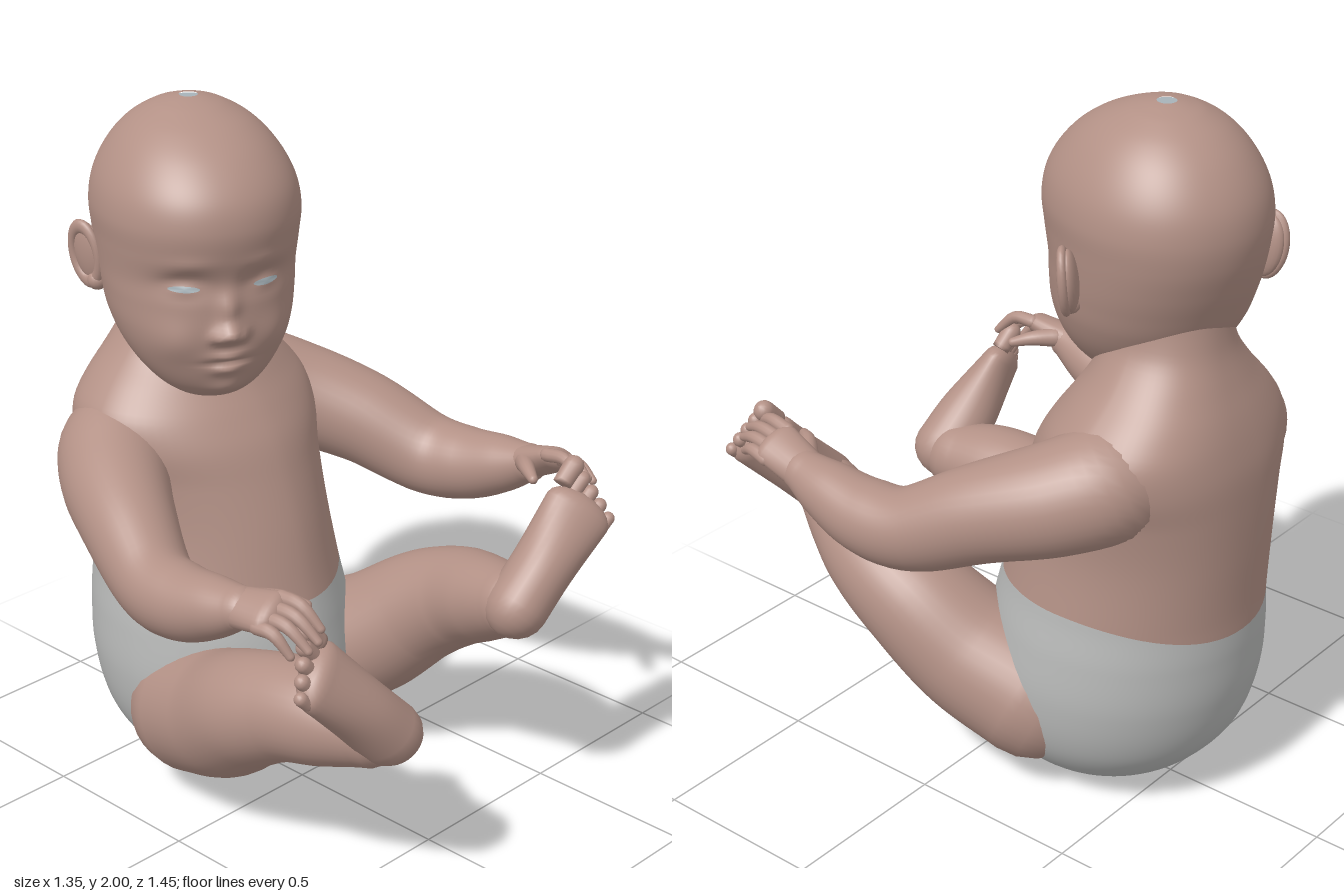
import * as THREE from 'three';

const V = (x, y, z) => new THREE.Vector3(x, y, z);
const skin = new THREE.MeshStandardMaterial({ color: 0xb39186 });
skin.name = 'skin';
const cloth = new THREE.MeshStandardMaterial({ color: 0xb7b8b7 });
cloth.name = 'diaperCloth';
const eyeGrey = new THREE.MeshStandardMaterial({ color: 0xa6b2b8 });
eyeGrey.name = 'eyeGrey';

function add(parent, name, geometry, material = skin) {
  const mesh = new THREE.Mesh(geometry, material);
  mesh.name = name;
  parent.add(mesh);
  return mesh;
}

// Closed rings of points joined into a smooth skin
function grid(rings, cols, point) {
  const pos = [], idx = [];
  for (let i = 0; i <= rings; i++) {
    for (let j = 0; j < cols; j++) {
      const p = point(i / rings, (j / cols) * Math.PI * 2, i);
      pos.push(p.x, p.y, p.z);
      if (i === rings) continue;
      const a = i * cols + j, b = i * cols + ((j + 1) % cols);
      idx.push(a, b, b + cols, a, b + cols, a + cols);
    }
  }
  const g = new THREE.BufferGeometry();
  g.setAttribute('position', new THREE.Float32BufferAttribute(pos, 3));
  g.setIndex(idx);
  g.computeVertexNormals();
  return g;
}

// Round-ended limb through rows of [x, y, z, radius along side, radius across]
function limb(rows, side, rings = 20, cols = 24) {
  const path = new THREE.CatmullRomCurve3(rows.map(r => V(r[0], r[1], r[2])), false, 'catmullrom');
  const size = new THREE.CatmullRomCurve3(rows.map(r => V(r[3], r[4], 0)), false, 'catmullrom');
  const cap = 5;
  return grid(rings + 2 * cap, cols, (v, th, i) => {
    const t = THREE.MathUtils.clamp((i - cap) / rings, 0, 1);
    const over = i < cap ? i - cap : Math.max(0, i - cap - rings);
    const ang = (over / cap) * Math.PI / 2;
    const c = path.getPoint(t), r = size.getPoint(t), tan = path.getTangent(t);
    const b = tan.clone().cross(side).normalize(), a = b.clone().cross(tan);
    return c.addScaledVector(tan, Math.sin(ang) * Math.min(r.x, r.y))
      .addScaledVector(a, r.x * Math.cos(ang) * Math.cos(th))
      .addScaledVector(b, r.y * Math.cos(ang) * Math.sin(th));
  });
}

// Smooth lookup by height in rows of [y, half width, front z, back z]
function section(rows, y) {
  let k = 0;
  while (k < rows.length - 2 && y > rows[k + 1][0]) k++;
  const p = rows[k], q = rows[k + 1], h = q[0] - p[0], t = (y - p[0]) / h;
  const slope = (m, c) => {
    const a = rows[Math.max(0, m - 1)], b = rows[Math.min(rows.length - 1, m + 1)];
    return (b[c] - a[c]) / (b[0] - a[0]);
  };
  return [1, 2, 3].map(c => (2 * t ** 3 - 3 * t * t + 1) * p[c] + (3 * t * t - 2 * t ** 3) * q[c]
    + h * ((t ** 3 - 2 * t * t + t) * slope(k, c) + (t ** 3 - t * t) * slope(k + 1, c)));
}

const power = (v, n) => Math.sign(v) * Math.abs(v) ** (2 / n);
function ringPoint(rows, y, th, nFront, nBack) {
  const [w, f, b] = section(rows, y), c = Math.cos(th), n = c > 0 ? nFront : nBack;
  return V(w * power(Math.sin(th), n), y, (f + b) / 2 + (f - b) / 2 * power(c, n));
}

const bodyRows = [
  [0, 0, -.32, -.32], [.01, .11, -.19, -.43], [.04, .215, -.07, -.5], [.1, .3, .03, -.585],
  [.2, .36, .08, -.665], [.35, .385, .09, -.712], [.5, .375, .065, -.725], [.62, .355, .035, -.725],
  [.8, .338, -.01, -.73], [.95, .35, -.06, -.73], [1.05, .375, -.1, -.725], [1.13, .37, -.15, -.71],
  [1.2, .318, -.2, -.69], [1.28, .24, -.25, -.66], [1.36, .18, -.275, -.632], [1.42, .162, -.28, -.62],
  [1.5, .155, -.28, -.61]];
const headRows = [
  [1.2, 0, .15, .15], [1.205, .06, .2, .08], [1.225, .115, .24, 0], [1.27, .17, .28, -.1],
  [1.34, .22, .305, -.18], [1.42, .252, .318, -.24], [1.5, .266, .32, -.28], [1.56, .272, .318, -.305],
  [1.64, .28, .34, -.33], [1.72, .286, .35, -.338], [1.8, .27, .328, -.322], [1.88, .226, .262, -.275],
  [1.94, .168, .175, -.212], [1.98, .098, .08, -.14], [1.994, .053, .025, -.09], [2, .02, -.015, -.055]];

// Face relief: [x, y, width, height, depth], mirrored when x is not zero
const features = [
  [0, 1.432, .034, .028, .05], [0, 1.5, .028, .05, .022], [.036, 1.422, .018, .016, .02],
  [.115, 1.568, .06, .03, -.026], [.115, 1.558, .042, .02, .02], [.11, 1.63, .06, .02, .005],
  [0, 1.362, .045, .014, .018], [0, 1.318, .04, .015, .016], [0, 1.34, .06, .006, -.013],
  [0, 1.25, .05, .025, .012], [.15, 1.4, .065, .06, .016]];
function relief(x, y) {
  let d = 0;
  for (const [fx, fy, w, h, k] of features)
    for (const s of fx ? [1, -1] : [1])
      d += k * Math.exp(-(((x - s * fx) / w) ** 2) - ((y - fy) / h) ** 2);
  return d;
}
function faceZ(x, y) {
  const [w, f, b] = section(headRows, y);
  return (f + b) / 2 + (f - b) / 2 * (1 - Math.abs(x / w) ** 2.1) ** (1 / 2.1) + relief(x, y);
}

function buildHead() {
  const head = new THREE.Group();
  head.name = 'head';
  // Skull, left open by a small soft spot at the crown
  add(head, 'skull', grid(110, 144, (v, th) => {
    const y = 1.2 + .3995 * (1 - Math.cos(Math.PI * v));
    const p = ringPoint(headRows, y, th, 2.1, 2.1);
    if (Math.cos(th) > 0) p.z += relief(p.x, y) * Math.min(1, Math.cos(th) * 3);
    return p;
  }));
  const spot = add(head, 'crownSpot', new THREE.CircleGeometry(.045, 20), eyeGrey);
  spot.rotation.x = -Math.PI / 2;
  spot.position.set(0, 1.991, -.035);
  for (const s of [1, -1]) {
    // Narrow open eye laid on the face
    const eye = new THREE.CircleGeometry(1, 24), p = eye.attributes.position;
    for (let i = 0; i < p.count; i++) {
      const x = s * .115 + p.getX(i) * .04, y = 1.557 + p.getY(i) * .0085;
      p.setXYZ(i, x, y, faceZ(x, y) + .003);
    }
    eye.computeVertexNormals();
    add(head, 'eye', eye, eyeGrey);
    // Ear flaring outward to the back: bowl, rim and lobe
    const ear = new THREE.Group();
    ear.name = 'ear';
    ear.position.set(s * .285, 1.565, -.07);
    ear.rotation.set(-.15, s * -.5, s * -.15);
    add(ear, 'earBowl', new THREE.SphereGeometry(1, 24, 16)).scale.set(.026, .09, .054);
    const rim = add(ear, 'earRim', new THREE.TorusGeometry(.05, .013, 12, 32));
    rim.rotation.y = Math.PI / 2;
    rim.scale.set(1, 1.6, 1);
    rim.position.x = s * .013;
    const lobe = add(ear, 'earLobe', new THREE.SphereGeometry(.028, 16, 12));
    lobe.position.set(s * .004, -.078, .018);
    head.add(ear);
  }
  head.position.set(-.05, 0, -.37);
  head.rotation.y = -.47;
  return head;
}

function buildArm(s, dy, droop) {
  const arm = new THREE.Group();
  arm.name = s > 0 ? 'leftArm' : 'rightArm';
  const at = (x, y, z, ...r) => [s * x, y + dy, z, ...r];
  const side = V(s * .85, -.5, 0).normalize();
  add(arm, 'armSkin', limb([
    at(.12, 1.05, -.48, .12, .12), at(.26, 1.045, -.475, .16, .155), at(.37, 1.0, -.37, .155, .152),
    at(.47, .94, -.2, .133, .138), at(.545, .86, -.02, .112, .122), at(.57, .86, .12, .105, .108),
    at(.578, .895, .25, .085, .085), at(.58, .925, .34, .062, .057)], side, 44, 36));
  const wrist = at(.58, .925, .33), palm = at(.577, .975 - droop * .5, .445);
  add(arm, 'palm', limb([[...wrist, .06, .05], [...palm, .068, .034]], side, 10));
  for (let i = 0; i < 4; i++) {
    const u = (i - 1.5) / 1.5, base = V(...palm).addScaledVector(side, u * .052);
    const len = [.12, .14, .135, .1][i];
    const mid = base.clone().add(V(-s * .005, .012 - droop * .3, len * .55));
    const tip = base.clone().add(V(-s * .02, -.005 - droop, len));
    add(arm, 'finger', limb([[...base, .02, .02], [...mid, .018, .018], [...tip, .012, .012]], side, 8, 12));
  }
  add(arm, 'thumb', limb([at(.54, .945, .36, .03, .028), at(.49, .96 - droop * .3, .41, .022, .022),
    at(.455, .955 - droop * .5, .46, .014, .014)], V(0, 1, 0), 10, 14));
  return arm;
}

function buildLeg(name, rows, heel, ball, across) {
  const leg = new THREE.Group();
  leg.name = name;
  add(leg, 'legSkin', limb(rows.map(r => [...r, r[3]]), V(1, 0, 0), 40, 36));
  const dir = ball.clone().sub(heel).normalize(), mid = heel.clone().lerp(ball, .45);
  add(leg, 'foot', limb([[...heel, .09, .1], [...mid, .09, .09], [...ball, .102, .053]], across, 16, 28));
  // Toes from the big one to the little one
  for (let i = 0; i < 5; i++) {
    const r = [.03, .023, .022, .021, .019][i];
    const base = ball.clone().addScaledVector(across, -.082 + i * .042).addScaledVector(dir, .02);
    const tip = base.clone().addScaledVector(dir, .062 - i * .007);
    add(leg, 'toe', limb([[...base, r * .9, r * .9], [...tip, r, r]], across, 5, 14));
  }
  return leg;
}

export function createModel() {
  const baby = new THREE.Group();
  baby.name = 'baby';

  // Torso and diaper meet along a waistline that dips at front and back
  const waist = th => .64 - (Math.cos(th) > 0 ? .04 : .07) * Math.cos(th) ** 2;
  add(baby, 'diaper', grid(50, 72, (v, th) =>
    ringPoint(bodyRows, waist(th) * (1 - Math.cos(Math.PI * v)) / 2, th, 1.8, 2.05)), cloth);
  // The back grows squarer towards the shoulder blades
  add(baby, 'torso', grid(50, 72, (v, th) =>
    ringPoint(bodyRows, THREE.MathUtils.lerp(waist(th), 1.5, v), th, 1.8, 2.05 + .3 * Math.sin(Math.PI * v))));

  baby.add(buildHead(), buildArm(1, .01, .01), buildArm(-1, -.03, .05));

  baby.add(buildLeg('leftLeg', [[.24, .27, -.19, .195], [.295, .36, -.01, .185], [.345, .49, .15, .165],
    [.35, .57, .29, .146], [.315, .625, .42, .125], [.275, .67, .54, .098]],
  V(.255, .675, .578), V(.475, .9, .605), V(.33, -.72, .62).normalize()));
  baby.add(buildLeg('rightLeg', [[-.24, .26, -.19, .195], [-.295, .33, -.01, .185], [-.35, .43, .15, .165],
    [-.355, .49, .29, .148], [-.345, .515, .43, .136], [-.325, .525, .56, .108]],
  V(-.32, .535, .622), V(-.53, .765, .575), V(-.6, -.7, .36).normalize()));
  return baby;
}
